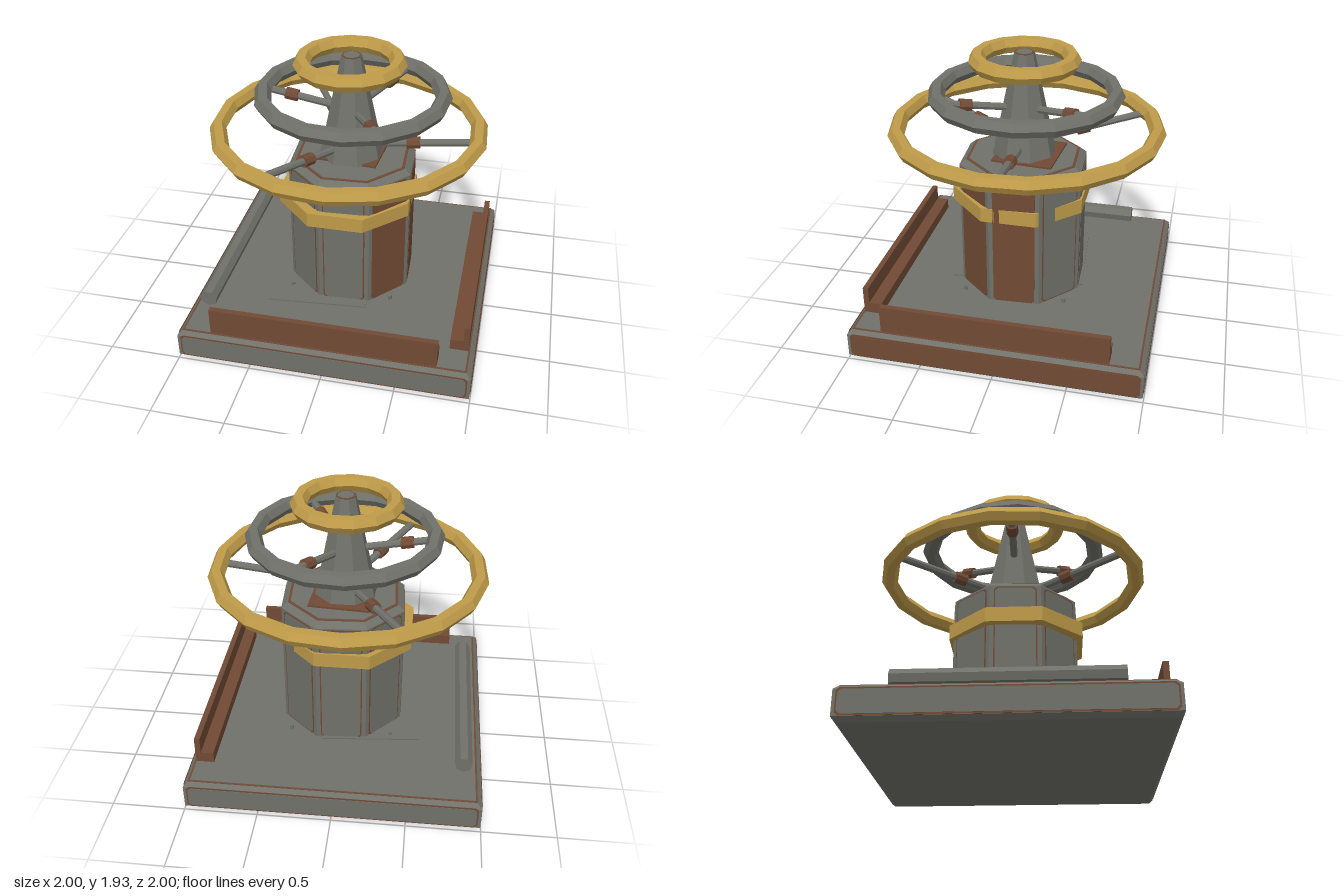
import * as THREE from 'three';

const mat = (name, color) => new THREE.MeshStandardMaterial({ name, color });

export function createModel() {
  const root = new THREE.Group();
  root.name = 'antennaTower';
  const gray = mat('weathered gray', 0x70716a);
  const brown = mat('rust brown', 0x714a35);
  const gold = mat('dull gold', 0xbf9b49);

  // Adds a faceted mesh
  const add = (name, geo, material, x = 0, y = 0, z = 0, parent = root) => {
    const g = geo.index ? geo.toNonIndexed() : geo;
    g.computeVertexNormals();
    const m = new THREE.Mesh(g, material);
    m.name = name;
    m.position.set(x, y, z);
    parent.add(m);
    return m;
  };
  const box = (w, h, d) => new THREE.BoxGeometry(w, h, d);
  // Thin plate with cut corners, facing +z, its back on z = 0
  const plate = (w, h, c, t) => {
    const a = w / 2, b = h / 2;
    const s = new THREE.Shape([[-a + c, -b], [a - c, -b], [a, -b + c], [a, b - c],
      [a - c, b], [-a + c, b], [-a, b - c], [-a, -b + c]].map(p => new THREE.Vector2(...p)));
    return new THREE.ExtrudeGeometry(s, { depth: t, bevelEnabled: false });
  };
  const octagon = (top, bottom, h, turn = 0) =>
    new THREE.CylinderGeometry(top, bottom, h, 8).rotateY(Math.PI / 8 + turn);

  // Base slab with chamfered edges
  const half = 0.965;
  const square = new THREE.Shape([[-half, -half], [half, -half], [half, half], [-half, half]]
    .map(p => new THREE.Vector2(...p)));
  const slab = new THREE.ExtrudeGeometry(square, {
    depth: 0.166, bevelThickness: 0.03, bevelSize: 0.03, bevelSegments: 1,
  }).rotateX(-Math.PI / 2);
  add('baseSlab', slab, gray, 0, 0.03, 0);
  add('baseTopTrim', box(1.93, 0.004, 1.93), brown, 0, 0.227, 0);
  add('baseTop', box(1.905, 0.006, 1.905), gray, 0, 0.229, 0);
  for (let k = 0; k < 4; k++) {
    const side = new THREE.Group();
    side.name = 'baseSide';
    side.rotation.y = k * Math.PI / 2;
    root.add(side);
    add('sideTrim', plate(1.95, 0.172, 0.02, 0.003), brown, 0, 0.118, 0.994, side);
    add('sidePanel', plate(1.93, 0.15, 0.02, 0.005), k === 1 ? brown : gray, 0, 0.118, 0.995, side);
  }

  // L-shaped rails on the front and left edges
  const profile = new THREE.Shape([[0.83, 0.23], [0.955, 0.23], [0.955, 0.425],
    [0.917, 0.425], [0.917, 0.31], [0.83, 0.31]].map(p => new THREE.Vector2(...p)));
  const rail = () => new THREE.ExtrudeGeometry(profile, { depth: 1.535, bevelEnabled: false })
    .translate(0, 0, -0.7675);
  add('leftRail', rail(), brown);
  add('frontRail', rail().rotateY(-Math.PI / 2), brown);

  // Loose pipe
  add('pipe', new THREE.CylinderGeometry(0.06, 0.06, 1.39, 7).rotateX(Math.PI / 2), gray, -0.87, 0.298, 0);

  // Skewed floor plate and bolts
  add('floorPlate', box(0.69, 0.012, 0.94), gray, -0.18, 0.236, 0.045).rotation.y = 0.085;
  for (const x of [-0.355, 0.355]) for (const z of [-0.36, 0.35])
    add('bolt', new THREE.CylinderGeometry(0.014, 0.014, 0.035, 6), gray, x, 0.247, z);

  // Octagonal column, turned slightly
  const column = new THREE.Group();
  column.name = 'column';
  column.position.set(0.012, 0, 0);
  column.rotation.y = 0.052;
  root.add(column);
  add('columnBody', octagon(0.453, 0.453, 0.925), gray, 0, 0.6925, 0, column);
  add('columnShoulder', octagon(0.41, 0.453, 0.035), gray, 0, 1.1725, 0, column);
  add('columnTopTrim', octagon(0.405, 0.405, 0.006), brown, 0, 1.191, 0, column);
  add('columnTop', octagon(0.385, 0.385, 0.008), gray, 0, 1.193, 0, column);
  for (let k = 0; k < 8; k++) {
    const face = new THREE.Group();
    face.name = 'columnFace';
    face.rotation.y = k * Math.PI / 4;
    column.add(face);
    add('faceTrim', plate(0.288, 0.91, 0.02, 0.003), brown, 0, 0.69, 0.4183, face);
    add('facePanel', plate(0.27, 0.892, 0.02, 0.005), k === 1 || k === 2 ? brown : gray,
      0, 0.69, 0.4185, face);
  }

  // Gold band around the column
  const bandProfile = [[0.4, 0.86], [0.4925, 0.86], [0.4925, 0.963], [0.4, 0.963], [0.4, 0.86]]
    .map(p => new THREE.Vector2(...p));
  add('columnBand', new THREE.LatheGeometry(bandProfile, 8, Math.PI / 8), gold, -0.015, 0, 0.015);

  // Mast on its square foot
  add('mastFoot', box(0.42, 0.014, 0.42), brown, 0.01, 1.204, -0.04).rotation.y = -0.08;
  add('mast', octagon(0.07, 0.222, 0.72), gray, 0, 1.56, 0);
  add('mastCap', octagon(0.067, 0.067, 0.006), brown, 0, 1.921, 0);
  add('mastCapTop', octagon(0.056, 0.056, 0.006), gray, 0, 1.923, 0);

  // Faceted hoops
  const hoop = (name, r, sides, turn, material, x, y, z) =>
    add(name, new THREE.TorusGeometry(r, 0.057, 6, sides).rotateZ(turn).rotateX(-Math.PI / 2),
      material, x, y, z);
  hoop('lowerHoop', 0.892, 18, 0.23, gold, -0.02, 1.388, -0.013);
  hoop('middleHoop', 0.608, 16, 0.1, gray, 0.005, 1.639, -0.013);
  hoop('upperHoop', 0.32, 15, 0.1, gold, -0.01, 1.867, 0);

  // Three rising spokes per hoop, each with a collar
  const spokes = (name, degrees, r0, y0, r1, y1, collarAt) => degrees.forEach(deg => {
    const spoke = new THREE.Group();
    spoke.name = name;
    spoke.rotation.y = THREE.MathUtils.degToRad(deg);
    root.add(spoke);
    const length = Math.hypot(r1 - r0, y1 - y0);
    const tilt = Math.atan2(y1 - y0, r1 - r0) - Math.PI / 2;
    add('rod', new THREE.CylinderGeometry(0.026, 0.026, length, 8), gray,
      (r0 + r1) / 2, (y0 + y1) / 2, 0, spoke).rotation.z = tilt;
    const t = (collarAt - r0) / (r1 - r0);
    add('collar', new THREE.CylinderGeometry(0.042, 0.042, 0.085, 8), brown,
      collarAt, y0 + t * (y1 - y0), 0, spoke).rotation.z = tilt;
  });
  spokes('lowerSpoke', [0, 120, 240], 0.13, 1.285, 0.88, 1.375, 0.43);
  spokes('middleSpoke', [60, 180, 300], 0.1, 1.545, 0.6, 1.63, 0.41);

  return root;
}
